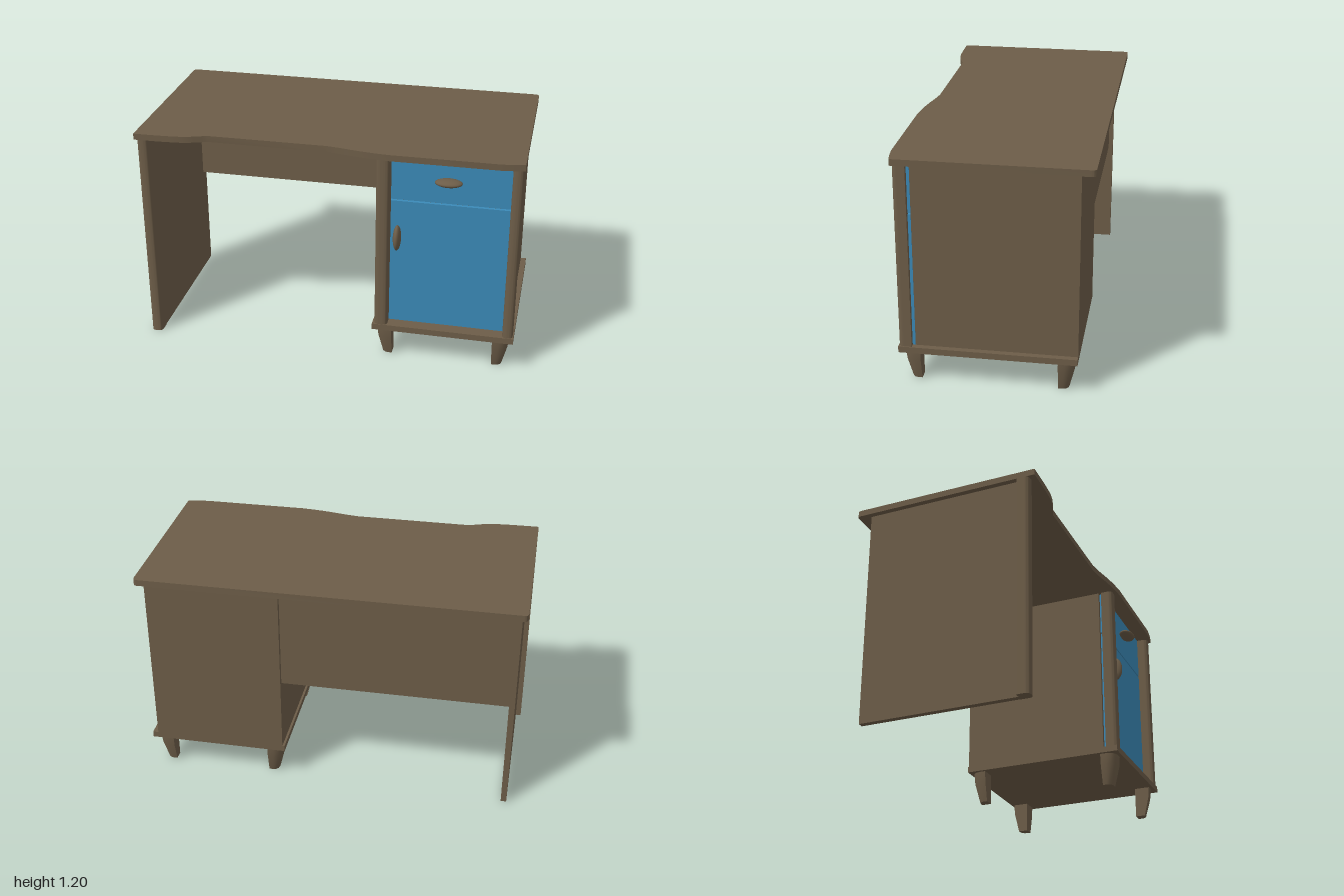
import * as THREE from 'three';
import { toCreasedNormals } from 'three/addons/utils/BufferGeometryUtils.js';

const wood = new THREE.MeshStandardMaterial({ color: 0x6d5d48 });
const blue = new THREE.MeshStandardMaterial({ color: 0x3b8ab8 });

function add(parent, name, geometry, material = wood) {
  const mesh = new THREE.Mesh(geometry, material);
  mesh.name = name;
  parent.add(mesh);
  return mesh;
}

// Box given by its limits on each axis
function box(parent, name, [x0, x1], [y0, y1], [z0, z1], material) {
  const mesh = add(parent, name, new THREE.BoxGeometry(x1 - x0, y1 - y0, z1 - z0), material);
  mesh.position.set((x0 + x1) / 2, (y0 + y1) / 2, (z0 + z1) / 2);
  return mesh;
}

// Plan outline (shape y = -z) raised from y0 to y1
function slab(parent, name, shape, y0, y1) {
  const geometry = new THREE.ExtrudeGeometry(shape, { depth: y1 - y0, bevelEnabled: false, curveSegments: 8 });
  geometry.rotateX(-Math.PI / 2).translate(0, y0, 0);
  return add(parent, name, toCreasedNormals(geometry, 0.6));
}

// Upright post with a rounded front
function post(parent, name, x0, x1, y0) {
  const r = 0.025;
  const s = new THREE.Shape();
  s.moveTo(x0, -0.4);
  s.lineTo(x0, -0.465 + r);
  s.quadraticCurveTo(x0, -0.465, x0 + r, -0.465);
  s.lineTo(x1 - r, -0.465);
  s.quadraticCurveTo(x1, -0.465, x1, -0.465 + r);
  s.lineTo(x1, -0.4);
  slab(parent, name, s, y0, 1.17);
}

// Foot: straight on its two inner sides, rounded and tapered on the outer ones
function footGeometry(sx, sz) {
  const outline = [[0, 0], [1, 0], [1, 0.4], [0.92, 0.7], [0.7, 0.92], [0.4, 1], [0, 1]];
  if (sx * sz > 0) outline.reverse();
  const levels = [[0, 0.053], [0.11, 0.08], [0.17, 0.085]];
  const n = outline.length;
  const positions = [];
  const index = [];
  for (const [y, size] of levels)
    for (const [u, v] of outline) positions.push(u * size * sx, y, v * size * sz);
  for (let k = 0; k < levels.length - 1; k++)
    for (let i = 0; i < n; i++) {
      const a = k * n + i, b = k * n + (i + 1) % n;
      index.push(a, b, b + n, a, b + n, a + n);
    }
  const top = (levels.length - 1) * n;
  for (let i = 1; i < n - 1; i++) {
    index.push(0, i + 1, i);
    index.push(top, top + i, top + i + 1);
  }
  const geometry = new THREE.BufferGeometry();
  geometry.setAttribute('position', new THREE.Float32BufferAttribute(positions, 3));
  geometry.setIndex(index);
  return toCreasedNormals(geometry, 0.7);
}

function handle(parent, name, x, y, rx, ry) {
  const mesh = add(parent, name, new THREE.SphereGeometry(1, 24, 16));
  mesh.scale.set(rx, ry, 0.043);
  mesh.position.set(x, y, 0.434);
}

export function createModel() {
  const desk = new THREE.Group();
  desk.name = 'desk';

  // Worktop with a wavy front edge
  const top = new THREE.Shape();
  top.moveTo(-1, 0.475);
  top.lineTo(-1, -0.497);
  top.lineTo(-0.88, -0.495);
  top.bezierCurveTo(-0.72, -0.49, -0.72, -0.483, -0.62, -0.447);
  top.lineTo(0, -0.446);
  top.bezierCurveTo(0.1, -0.455, 0.15, -0.48, 0.33, -0.492);
  top.lineTo(0.88, -0.49);
  top.quadraticCurveTo(0.94, -0.485, 1, -0.473);
  top.lineTo(1, 0.475);
  top.quadraticCurveTo(1, 0.5, 0.98, 0.5);
  top.lineTo(-0.98, 0.5);
  top.quadraticCurveTo(-1, 0.5, -1, 0.475);
  slab(desk, 'worktop', top, 1.167, 1.2);

  // Open end: side panel, its front post and the modesty panel
  box(desk, 'sidePanel', [-0.972, -0.942], [0, 1.17], [-0.43, 0.4]);
  post(desk, 'sidePost', -1, -0.94, 0);
  box(desk, 'modestyPanel', [-0.945, 0.27], [0.6, 1.13], [-0.405, -0.375]);

  // Cabinet
  const cabinet = new THREE.Group();
  cabinet.name = 'cabinet';
  desk.add(cabinet);
  box(cabinet, 'cabinetBody', [0.262, 0.97], [0.2, 1.17], [-0.43, 0.385]);
  box(cabinet, 'cabinetBase', [0.25, 1], [0.17, 0.203], [-0.43, 0.468]);
  post(cabinet, 'innerPost', 0.26, 0.33, 0.2);
  post(cabinet, 'outerPost', 0.94, 0.995, 0.2);
  box(cabinet, 'drawerFront', [0.28, 0.971], [0.92, 1.167], [0.385, 0.403], blue);
  box(cabinet, 'door', [0.28, 0.971], [0.205, 0.911], [0.385, 0.403], blue);
  handle(cabinet, 'drawerHandle', 0.625, 1.05, 0.07, 0.019);
  handle(cabinet, 'doorHandle', 0.37, 0.715, 0.021, 0.07);

  // Four feet, mirrored about the cabinet centre
  for (const sx of [-1, 1])
    for (const sz of [-1, 1]) {
      const foot = add(cabinet, 'foot', footGeometry(sx, sz));
      foot.position.set(sx < 0 ? 0.352 : 0.89, 0, sz < 0 ? -0.33 : 0.363);
    }

  return desk;
}
